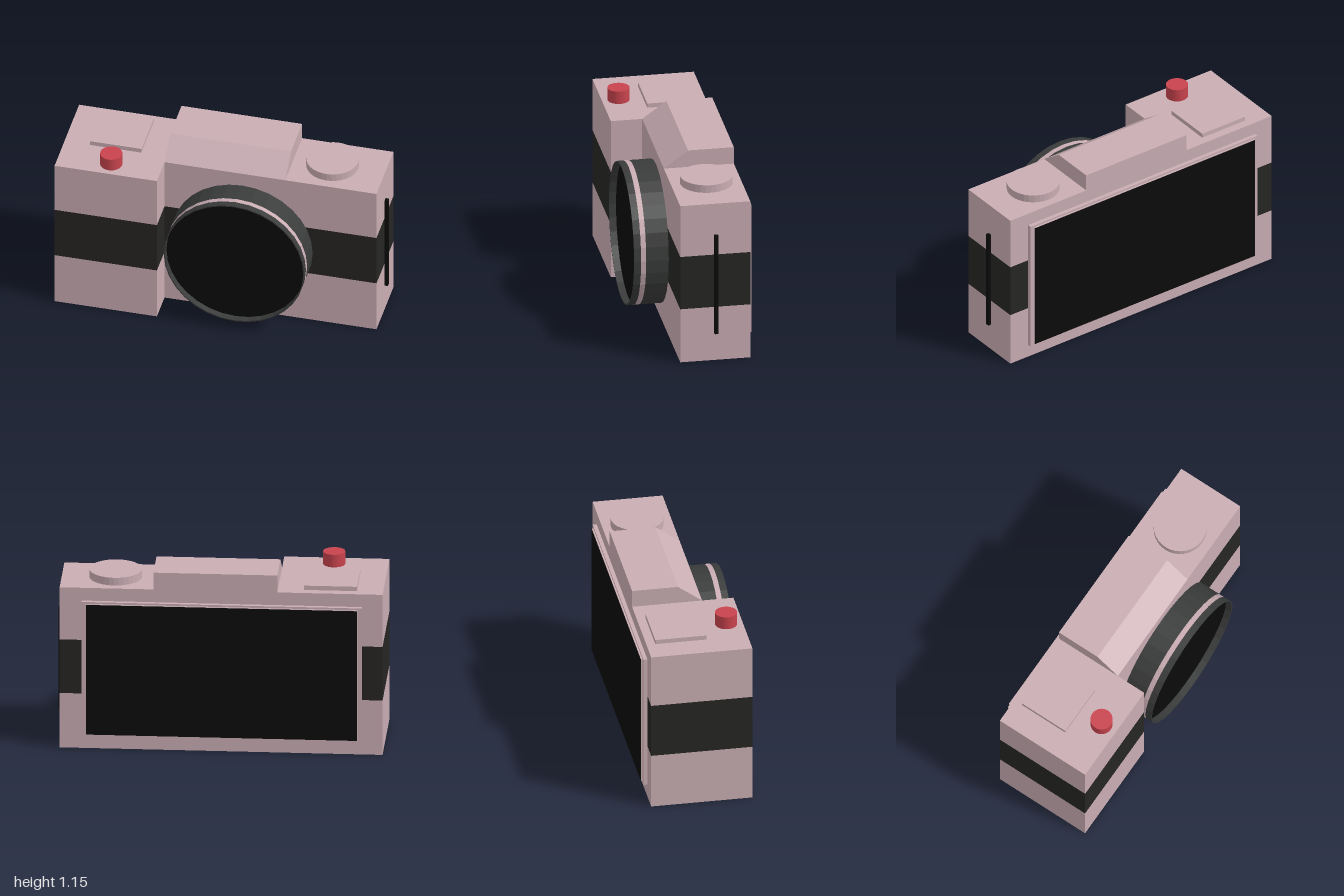
import * as THREE from 'three';

const mat = (color) => new THREE.MeshStandardMaterial({ color, flatShading: true });

export function createModel() {
  const model = new THREE.Group();
  const pink = mat(0xc9adb3), leather = mat(0x262523), barrel = mat(0x3a3b3b);
  const black = mat(0x0b0b0b), red = mat(0xc8434d);

  const add = (name, geometry, material, parent = model) => {
    const mesh = new THREE.Mesh(geometry, material);
    mesh.name = name;
    parent.add(mesh);
    return mesh;
  };
  // box given by its two extreme corners
  const box = (name, x0, x1, y0, y1, z0, z1, material) =>
    add(name, new THREE.BoxGeometry(x1 - x0, y1 - y0, z1 - z0), material)
      .position.set((x0 + x1) / 2, (y0 + y1) / 2, (z0 + z1) / 2);
  const outline = (points) => new THREE.Shape(points.map(([x, y]) => new THREE.Vector2(x, y)));

  // body: L-shaped plan (grip on the right), stacked in three layers
  const plan = outline([[-1, 0.305], [-1, -0.325], [-0.355, -0.325], [-0.355, -0.13], [0.98, -0.13], [0.98, 0.305]]);
  const layers = [['lowerBody', 0, 0.355, pink], ['leatherBand', 0.355, 0.705, leather], ['upperBody', 0.705, 1.045, pink]];
  for (const [name, y0, y1, material] of layers) {
    const g = new THREE.ExtrudeGeometry(plan, { depth: y1 - y0, bevelEnabled: false });
    add(name, g.rotateX(-Math.PI / 2), material).position.y = y0;
  }

  // viewfinder hump with sloping front
  const profile = outline([[-0.13, 1.045], [0.305, 1.045], [0.305, 1.155], [0.02, 1.155]]);
  const hump = new THREE.ExtrudeGeometry(profile, { depth: 0.76, bevelEnabled: false });
  add('viewfinderHump', hump.rotateY(Math.PI / 2), pink).position.x = -0.355;

  // top controls
  box('topPlate', -0.84, -0.515, 1.045, 1.073, -0.25, 0.07, pink);
  add('dial', new THREE.CylinderGeometry(0.162, 0.162, 0.05, 32), pink).position.set(0.65, 1.07, -0.09);
  add('shutterButton', new THREE.CylinderGeometry(0.068, 0.068, 0.082, 32), red).position.set(-0.668, 1.086, 0.222);

  // lens: barrel, trim ring, open front rim, recessed glass
  const lens = new THREE.Group();
  lens.name = 'lens';
  lens.position.set(0.135, 0.512, 0.13);
  model.add(lens);
  const r = 0.443;
  const ring = (name, points, material) => add(name,
    new THREE.LatheGeometry(points.map(([x, y]) => new THREE.Vector2(x, y)), 32).rotateX(Math.PI / 2), material, lens);
  ring('lensBarrel', [[r, 0], [r, 0.14]], barrel);
  ring('lensTrimRing', [[r, 0.14], [r, 0.172]], pink);
  ring('lensRim', [[r, 0.172], [r, 0.215], [r - 0.007, 0.215], [r - 0.007, 0.172]], barrel);
  add('lensGlass', new THREE.CircleGeometry(r, 32), black, lens).position.z = 0.172;

  // stepped rear screen
  box('screenFrame', -0.875, 0.845, 0.085, 0.962, -0.33, -0.305, pink);
  box('screenBezel', -0.85, 0.82, 0.098, 0.95, -0.34, -0.33, pink);
  box('screen', -0.847, 0.817, 0.101, 0.947, -0.342, -0.34, black);

  // bar on the left side
  box('sideBar', 0.975, 1, 0.18, 0.838, -0.105, -0.081, black);

  return model;
}
